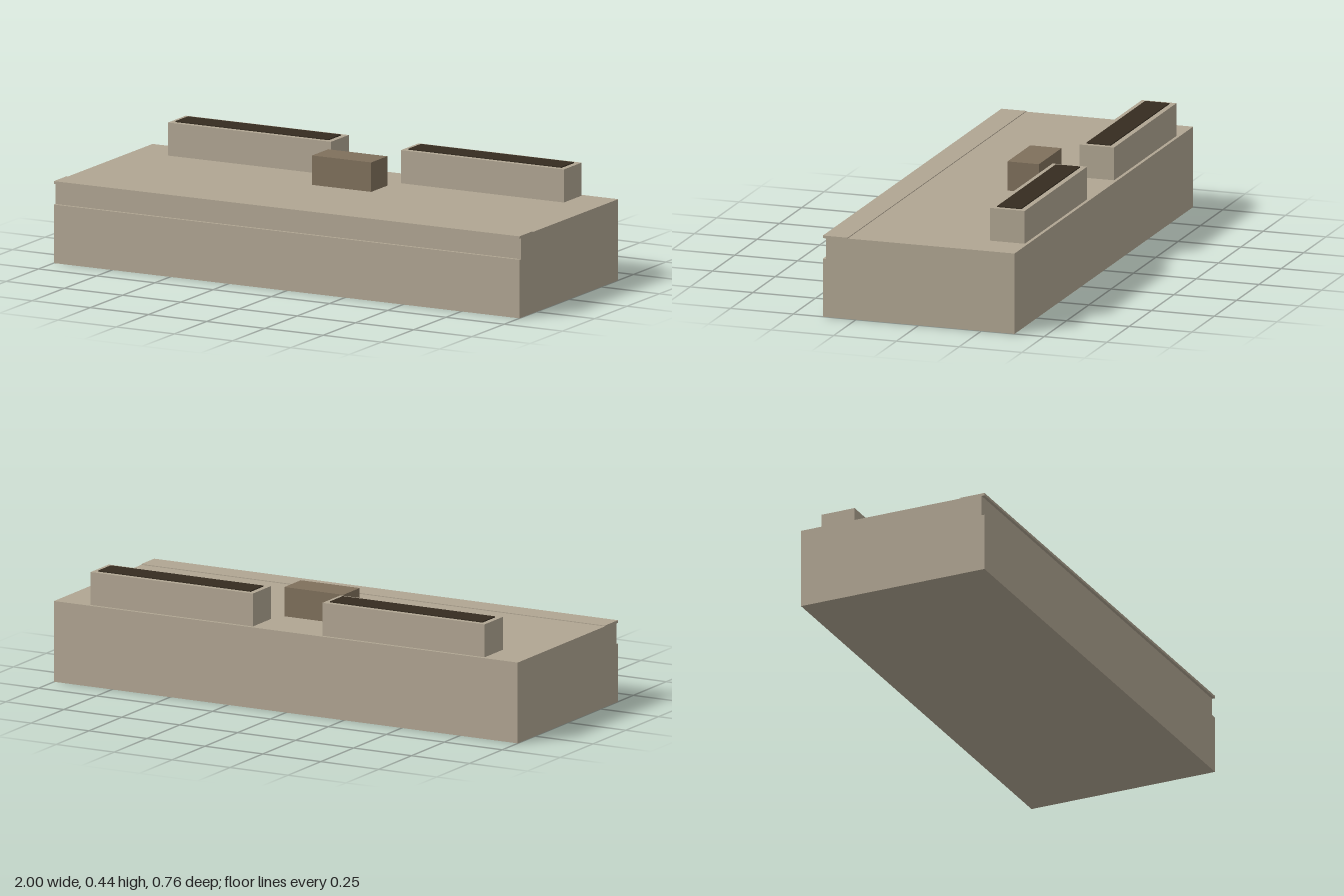
import * as THREE from 'three';

const stone = new THREE.MeshStandardMaterial({ name: 'stone', color: 0xb0a592 });
const brown = new THREE.MeshStandardMaterial({ name: 'brown', color: 0x7f705c });
const soil = new THREE.MeshStandardMaterial({ name: 'darkSoil', color: 0x352c20 });

const ROOF = 0.312;

// Box given by its centre in x and z, and its bottom
function box(name, material, w, h, d, x, bottom, z) {
  const mesh = new THREE.Mesh(new THREE.BoxGeometry(w, h, d), material);
  mesh.name = name;
  mesh.position.set(x, bottom + h / 2, z);
  return mesh;
}

export function createModel() {
  const model = new THREE.Group();
  model.name = 'building';

  // Main block: side profile (z, y) with a front recess and a thin roof lip, extruded along x
  const profile = new THREE.Shape([
    [-0.382, 0], [0.382, 0], [0.382, 0.225], [0.37, 0.225], [0.37, 0.305],
    [0.382, 0.305], [0.382, 0.315], [0.283, 0.315], [0.283, ROOF], [-0.382, ROOF],
  ].map(([z, y]) => new THREE.Vector2(z, y)));
  const geometry = new THREE.ExtrudeGeometry(profile, { depth: 2, bevelEnabled: false });
  geometry.rotateY(-Math.PI / 2).translate(1, 0, 0);
  const block = new THREE.Mesh(geometry, stone);
  block.name = 'mainBlock';
  model.add(block);

  // Small box in the middle of the roof
  model.add(box('roofBox', brown, 0.254, 0.425 - ROOF, 0.125, 0, ROOF, -0.106));

  // Two long troughs at the back with dark tops
  for (const [side, label] of [[1, 'left'], [-1, 'right']]) {
    model.add(box(label + 'Trough', stone, 0.7, 0.439 - ROOF, 0.138, side * 0.5, ROOF, -0.3));
    model.add(box(label + 'TroughTop', soil, 0.658, 0.004, 0.097, side * 0.5, 0.439, -0.3));
  }
  return model;
}
